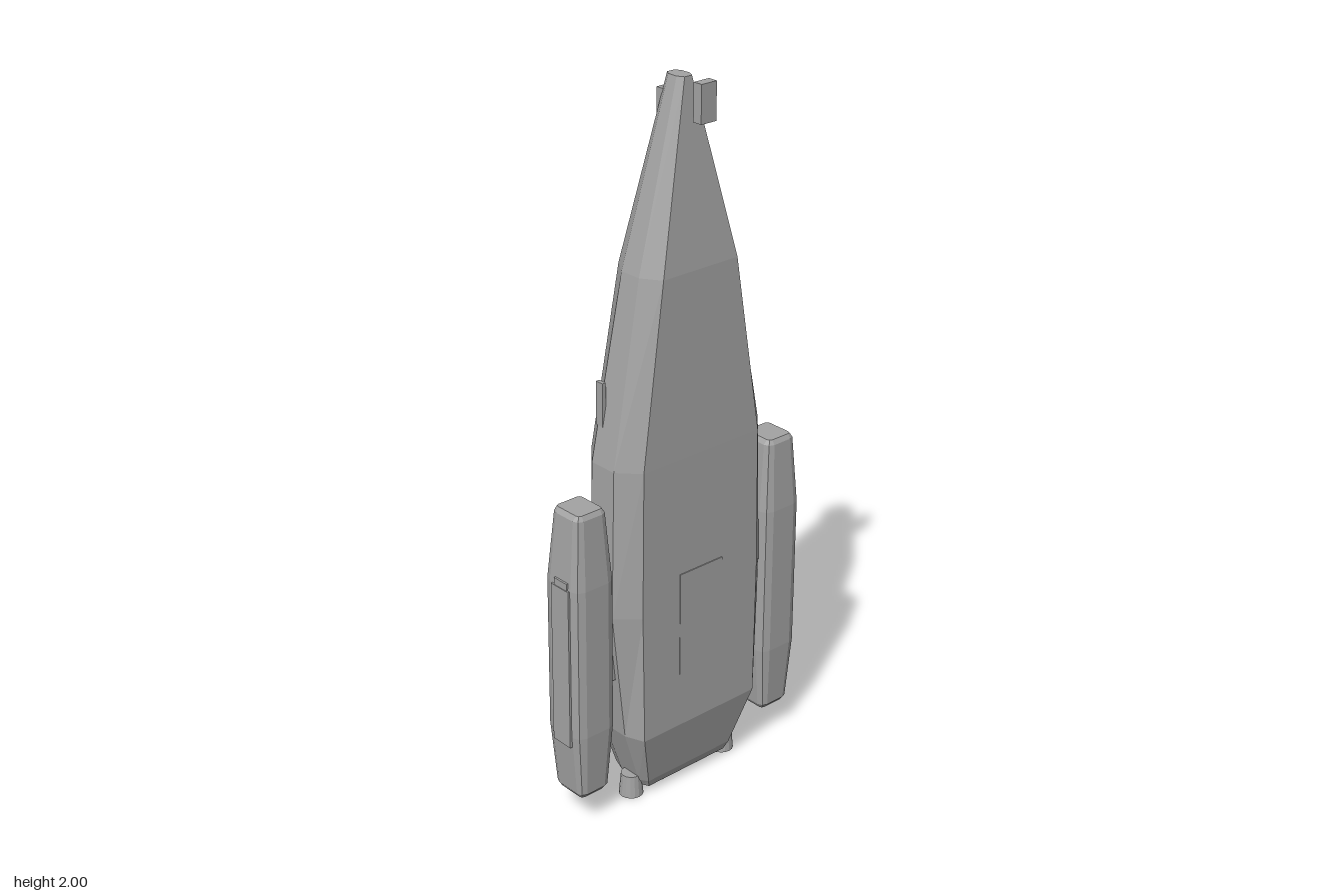
import * as THREE from 'three';

const grey = new THREE.MeshStandardMaterial({ color: 0xa3a3a3, flatShading: true });
grey.name = 'hull grey';

// Closed loft through horizontal rings; each ring is { y, pts: [[x, z], ...] } running from +z towards +x.
function loft(rings) {
  const n = rings[0].pts.length, pos = [], idx = [];
  rings.forEach(({ y, pts }) => pts.forEach(([x, z]) => pos.push(x, y, z)));
  for (let r = 0; r < rings.length - 1; r++) {
    for (let i = 0; i < n; i++) {
      const a = r * n + i, b = r * n + (i + 1) % n;
      idx.push(a, b, b + n, a, b + n, a + n);
    }
  }
  const top = (rings.length - 1) * n;
  for (let i = 1; i < n - 1; i++) idx.push(0, i + 1, i, top, top + i, top + i + 1);
  const g = new THREE.BufferGeometry();
  g.setAttribute('position', new THREE.Float32BufferAttribute(pos, 3));
  g.setIndex(idx);
  const flat = g.toNonIndexed();
  flat.computeVertexNormals();
  return flat;
}

// Eight-sided ring: half widths of front face, sides and back face, then z of front, side band and back.
function octagon(y, wf, ws, wb, zf, z1, z2, zb) {
  return { y, pts: [[-wf, zf], [wf, zf], [ws, z1], [ws, z2], [wb, zb], [-wb, zb], [-ws, z2], [-ws, z1]] };
}

// Rectangle ring with rounded corners.
function roundRect(y, hx, z0, z1, r) {
  const cz = (z0 + z1) / 2, hz = (z1 - z0) / 2, pts = [];
  [[1, 1], [1, -1], [-1, -1], [-1, 1]].forEach(([sx, sz], k) => {
    for (let i = 0; i <= 2; i++) {
      const a = (k + i / 2) * Math.PI / 2;
      pts.push([sx * (hx - r) + Math.sin(a) * r, cz + sz * (hz - r) + Math.cos(a) * r]);
    }
  });
  return { y, pts };
}

export function createModel() {
  const group = new THREE.Group();
  const add = (name, geometry, x = 0, y = 0, z = 0) => {
    const m = new THREE.Mesh(geometry, grey);
    m.name = name;
    m.position.set(x, y, z);
    group.add(m);
    return m;
  };
  // Box given by its extents
  const box = (name, x0, x1, y0, y1, z0, z1) => add(name,
    new THREE.BoxGeometry(x1 - x0, y1 - y0, z1 - z0), (x0 + x1) / 2, (y0 + y1) / 2, (z0 + z1) / 2);

  // Main hull, tapering to the nose
  add('hull', loft([
    octagon(0.025, 0.14, 0.15, 0.14, 0.21, 0.19, 0.13, 0.095),
    octagon(0.05, 0.15, 0.165, 0.15, 0.22, 0.195, 0.125, 0.085),
    octagon(0.22, 0.2, 0.222, 0.2, 0.26, 0.205, 0.12, 0.062),
    octagon(0.6, 0.205, 0.265, 0.205, 0.258, 0.205, 0.115, 0.053),
    octagon(1.02, 0.2, 0.253, 0.2, 0.255, 0.2, 0.115, 0.05),
    octagon(1.52, 0.125, 0.16, 0.125, 0.242, 0.19, 0.125, 0.073),
    octagon(2, 0.012, 0.022, 0.012, 0.188, 0.17, 0.14, 0.125),
  ]));
  box('frontPanel', -0.075, 0.075, 0.22, 0.685, 0.24, 0.26);
  box('noseBlock', -0.025, 0.025, 1.9, 2, 0.234, 0.262);

  // Small fittings behind the nose
  box('noseClamp', -0.026, 0.026, 1.88, 1.96, 0.102, 0.135);
  box('noseClampStem', -0.012, 0.012, 1.82, 1.9, 0.096, 0.13);
  box('noseProbe', -0.008, 0.008, 1.74, 1.8, 0.095, 0.115);

  // Dorsal sensor plate and knob
  box('dorsalPlate', -0.017, 0.017, 1.3, 1.46, 0.058, 0.09);
  box('dorsalFoot', -0.032, 0.014, 1.28, 1.36, 0.056, 0.075);
  const knob = add('dorsalKnob', new THREE.CylinderGeometry(0.016, 0.016, 0.03, 10), 0, 1.325, 0.052);
  knob.rotation.x = Math.PI / 2;

  // Raised back housing
  add('backHousing', loft([
    octagon(0.22, 0.125, 0.13, 0.09, 0.07, 0.04, 0.02, -0.01),
    octagon(0.26, 0.135, 0.14, 0.105, 0.07, 0.04, 0.005, -0.022),
    octagon(0.57, 0.11, 0.118, 0.085, 0.07, 0.04, 0.0, -0.033),
    octagon(0.79, 0.08, 0.085, 0.07, 0.07, 0.05, 0.04, 0.022),
    octagon(0.81, 0.075, 0.08, 0.07, 0.07, 0.055, 0.045, 0.032),
  ]));
  box('housingLatch', -0.018, 0.018, 0.8, 0.91, 0.035, 0.065);

  // Bridge tower with rear boom and keel
  add('bridgeTower', loft([
    roundRect(0.495, 0.068, -0.193, -0.012, 0.02),
    roundRect(0.62, 0.068, -0.193, -0.012, 0.02),
    roundRect(0.685, 0.045, -0.147, -0.014, 0.012),
    roundRect(0.695, 0.038, -0.137, -0.02, 0.008),
  ]));
  box('towerMount', -0.055, 0.055, 0.5, 0.685, -0.03, 0.03);
  box('towerBoom', -0.014, 0.014, 0.495, 0.585, -0.262, -0.18);
  box('towerKeel', -0.014, 0.014, 0.38, 0.5, -0.195, -0.07);

  // Lower back ridge and centre engine block
  const ridge = box('lowerRidge', -0.11, 0.11, 0.115, 0.135, 0.066, 0.09);
  ridge.rotation.x = -0.15;
  box('engineBlock', -0.03, 0.03, 0.012, 0.04, 0.12, 0.18);

  // Side pods, shared by both sides
  const pod = loft([
    roundRect(0.09, 0.04, 0.115, 0.205, 0.01),
    roundRect(0.105, 0.05, 0.103, 0.217, 0.02),
    roundRect(0.29, 0.066, 0.09, 0.228, 0.028),
    roundRect(0.73, 0.066, 0.09, 0.228, 0.028),
    roundRect(0.925, 0.05, 0.108, 0.214, 0.02),
    roundRect(0.938, 0.04, 0.115, 0.206, 0.01),
  ]);

  for (const s of [1, -1]) {
    const side = s > 0 ? 'left' : 'right';
    const pair = (name, x0, x1, ...rest) =>
      box(side + name, Math.min(s * x0, s * x1), Math.max(s * x0, s * x1), ...rest);
    add(side + 'Pod', pod, s * 0.335);
    pair('PodPlate', 0.39, 0.407, 0.26, 0.73, 0.13, 0.198);
    pair('PodPlateTip', 0.39, 0.405, 0.73, 0.75, 0.14, 0.19);
    pair('PodPylon', 0.24, 0.285, 0.4, 0.68, 0.135, 0.19);
    pair('BackRail', 0.25, 0.264, 0.16, 0.88, 0.054, 0.066);
    pair('ShoulderFin', 0.224, 0.235, 1.12, 1.24, 0.112, 0.137);
    pair('HousingFin', 0.12, 0.148, 0.31, 0.42, 0.03, 0.055);
    pair('LatchStud', 0.036, 0.056, 0.86, 0.9, 0.036, 0.06);
    // Thrusters
    add(side + 'Thruster', new THREE.CylinderGeometry(0.028, 0.034, 0.065, 16), s * 0.17, 0.0325, 0.17);
    add(side + 'InnerNozzle', new THREE.CylinderGeometry(0.026, 0.034, 0.03, 16), s * 0.065, 0.015, 0.15);
  }
  return group;
}
